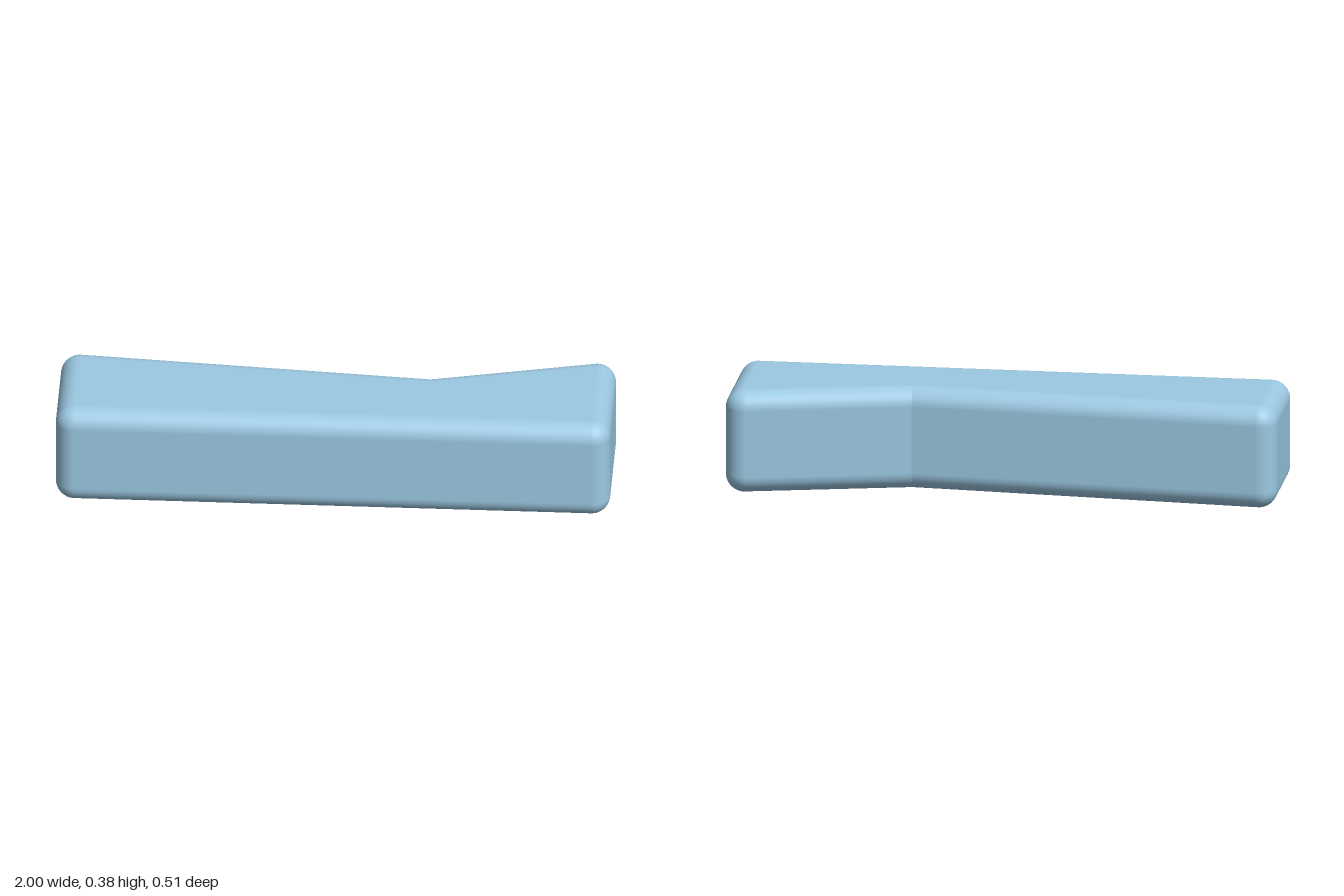
import * as THREE from 'three';

const R = 0.068;      // edge rounding
const HEIGHT = 0.382;
const ARC = 10;       // steps per rounding

// Columns run around the plan: a base point, the way it spreads, and its normal.
function planColumns() {
  const notch = new THREE.Vector2(0.34, -0.043); // plan coordinates are (x, z)
  const corners = [[0.932, -0.185], [0.932, 0.185], [-0.932, 0.185], [-0.932, -0.142]]
    .map(([x, z]) => new THREE.Vector2(x, z));
  const outward = (a, b) => Math.atan2(a.x - b.x, b.y - a.y) ;
  const startAngle = outward(notch, corners[0]);
  const endAngle = outward(corners[3], notch) + 2 * Math.PI;
  const unit = (t) => new THREE.Vector2(Math.cos(t), Math.sin(t));

  // The notch stays a sharp crease: one mitred point with two normals
  const nA = unit(startAngle), nB = unit(endAngle);
  const mitre = nA.clone().add(nB).divideScalar(1 + nA.dot(nB));
  const angles = [startAngle, 0, Math.PI / 2, Math.PI, endAngle];
  const columns = [{ base: notch, spread: mitre, normal: nA }];
  corners.forEach((base, k) => {
    for (let i = 0; i <= ARC; i++) {
      const n = unit(THREE.MathUtils.lerp(angles[k], angles[k + 1], i / ARC));
      columns.push({ base, spread: n, normal: n });
    }
  });
  columns.push({ base: notch, spread: mitre, normal: nB });
  return columns;
}

function roundedBlock() {
  const columns = planColumns();
  const count = columns.length;
  const rows = 2 * (ARC + 1);
  const positions = [], normals = [], index = [];

  // Rings from the flat bottom, over both rounded rims, to the flat top
  for (let j = 0; j < rows; j++) {
    const upper = j > ARC;
    const phi = ((upper ? j - 1 : j) / ARC - 1) * Math.PI / 2;
    const c = Math.cos(phi), s = Math.sin(phi);
    const y = (upper ? HEIGHT - R : R) + R * s;
    for (const { base, spread, normal } of columns) {
      positions.push(base.x + spread.x * R * c, y, base.y + spread.y * R * c);
      normals.push(normal.x * c, s, normal.y * c);
    }
  }
  for (let j = 0; j < rows - 1; j++) {
    for (let i = 0; i < count - 1; i++) {
      const a = j * count + i, b = a + 1, d = a + count, e = d + 1;
      index.push(b, a, d, b, d, e);
    }
  }
  // Flat caps, fanned from the notch
  const top = (rows - 1) * count;
  for (let i = 1; i < count - 2; i++) {
    index.push(0, i, i + 1);
    index.push(top, top + i + 1, top + i);
  }

  const geometry = new THREE.BufferGeometry();
  geometry.setAttribute('position', new THREE.Float32BufferAttribute(positions, 3));
  geometry.setAttribute('normal', new THREE.Float32BufferAttribute(normals, 3));
  geometry.setIndex(index);
  return geometry;
}

export function createModel() {
  const group = new THREE.Group();
  const block = new THREE.Mesh(roundedBlock(), new THREE.MeshStandardMaterial({ color: 0x9cc9e3 }));
  block.name = 'notchedBlock';
  group.add(block);
  return group;
}
